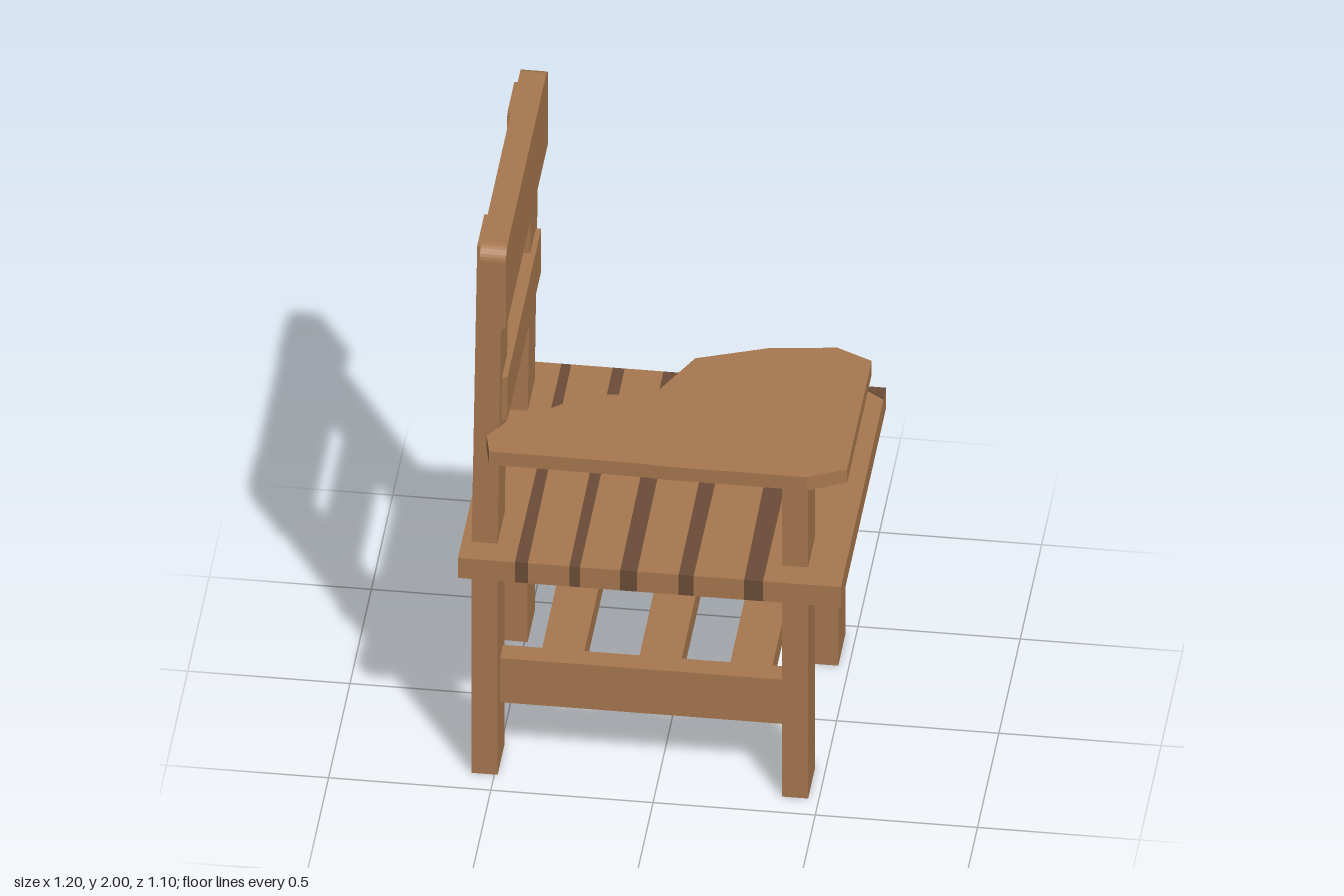
import * as THREE from 'three';

const wood = new THREE.MeshStandardMaterial({ color: 0xa8784f });
wood.name = 'wood';
const darkWood = new THREE.MeshStandardMaterial({ color: 0x6b4c37 });
darkWood.name = 'darkWood';

export function createModel() {
  const group = new THREE.Group();
  group.name = 'tabletArmChair';

  function add(name, geometry, material = wood) {
    const mesh = new THREE.Mesh(geometry, material);
    mesh.name = name;
    group.add(mesh);
    return mesh;
  }

  // Box given by its limits on each axis
  function box(name, x0, x1, y0, y1, z0, z1) {
    const g = new THREE.BoxGeometry(x1 - x0, y1 - y0, z1 - z0);
    g.translate((x0 + x1) / 2, (y0 + y1) / 2, (z0 + z1) / 2);
    return add(name, g);
  }

  // Flat slab from an [x, z] outline
  function slab(name, outline, y0, y1, material) {
    const shape = new THREE.Shape(outline.map(([x, z]) => new THREE.Vector2(x, -z)));
    const g = new THREE.ExtrudeGeometry(shape, { depth: y1 - y0, bevelEnabled: false });
    g.rotateX(-Math.PI / 2);
    g.translate(0, y0, 0);
    return add(name, g, material);
  }

  // Legs: [back z, front z] of each pair
  const sides = [[0.25, 0.417], [-0.452, -0.288]];
  sides.forEach(([z0, z1], i) => {
    // Back post, leaning slightly above the seat
    const post = new THREE.Shape([
      [-0.57, 0], [-0.49, 0], [-0.49, 0.87], [-0.476, 1.98], [-0.553, 1.98], [-0.57, 0.87],
    ].map(([x, y]) => new THREE.Vector2(x, y)));
    const g = new THREE.ExtrudeGeometry(post, { depth: z1 - z0, bevelEnabled: false });
    g.translate(0, 0, z0);
    add('backPost', g);
    // Front leg; one carries on up to hold the arm
    box('frontLeg', 0.387, 0.467, 0, i === 0 ? 1.25 : 0.8, z0, z1);
  });

  // Side stretchers and the shelf slats between them
  box('sideStretcher', -0.49, 0.39, 0.232, 0.398, 0.29, 0.36);
  box('sideStretcher', -0.49, 0.39, 0.232, 0.398, -0.42, -0.35);
  for (const x of [-0.38, -0.08, 0.2]) box('shelfSlat', x, x + 0.13, 0.26, 0.34, -0.35, 0.29);

  // Seat: boards alternating with dark strips that run through its thickness
  const zBack = -0.547, zFront = 0.508, yLow = 0.793, yTop = 0.868;
  const strips = [ // x limits at the back edge, then at the front edge
    [-0.42, -0.39, -0.425, -0.385],
    [-0.262, -0.225, -0.257, -0.224],
    [-0.106, -0.053, -0.1, -0.048],
    [0.076, 0.13, 0.08, 0.126],
    [0.27, 0.343, 0.282, 0.34],
  ];
  let left = [-0.6, -0.6];
  const seatPiece = (name, a, b, material) =>
    slab(name, [[a[0], zBack], [a[1], zFront], [b[1], zFront], [b[0], zBack]], yLow, yTop, material);
  for (const [b0, b1, f0, f1] of strips) {
    seatPiece('seatBoard', left, [b0, f0], wood);
    seatPiece('seatStrip', [b0, f0], [b1, f1], darkWood);
    left = [b1, f1];
  }
  seatPiece('seatBoard', left, [0.58, 0.58], wood);

  // Knot beside the first strip, on both faces, and a dark corner
  const knot = [[-0.458, -0.055], [-0.458, -0.008], [-0.435, -0.006], [-0.42, 0.012], [-0.418, -0.075], [-0.435, -0.058]];
  slab('knot', knot, yTop, yTop + 0.003, darkWood);
  slab('knot', knot, yLow - 0.003, yLow, darkWood);
  slab('darkCorner', [[0.445, zBack], [0.47, -0.532], [0.53, -0.525], [0.58, -0.488], [0.58, zBack]],
    yTop, yTop + 0.003, darkWood);

  // Writing arm
  slab('writingArm', [
    [-0.5, 0.54], [-0.05, 0.543], [0.06, 0.548], [0.48, 0.548], [0.597, 0.49], [0.597, -0.085],
    [0.484, -0.14], [0.28, -0.112], [0.06, 0.028 - 0.056], [-0.04, 0.177], [-0.24, 0.205],
    [-0.41, 0.345], [-0.46, 0.365], [-0.518, 0.46],
  ], 1.25, 1.3);

  // Middle back rail
  box('middleBackRail', -0.535, -0.466, 1.3, 1.46, -0.42, 0.37);

  // Top back rail with rounded upper corners
  const u0 = -0.465, u1 = 0.523, r = 0.045;
  const rail = new THREE.Shape();
  rail.moveTo(u0, 1.71);
  rail.lineTo(u1, 1.71);
  rail.lineTo(u1, 2 - r);
  rail.absarc(u1 - r, 2 - r, r, 0, Math.PI / 2);
  rail.lineTo(u0 + r, 2);
  rail.absarc(u0 + r, 2 - r, r, Math.PI / 2, Math.PI);
  const railGeometry = new THREE.ExtrudeGeometry(rail, { depth: 0.081, bevelEnabled: false, curveSegments: 4 });
  railGeometry.rotateY(Math.PI / 2);
  railGeometry.translate(-0.539, 0, 0);
  add('topBackRail', railGeometry);

  return group;
}
